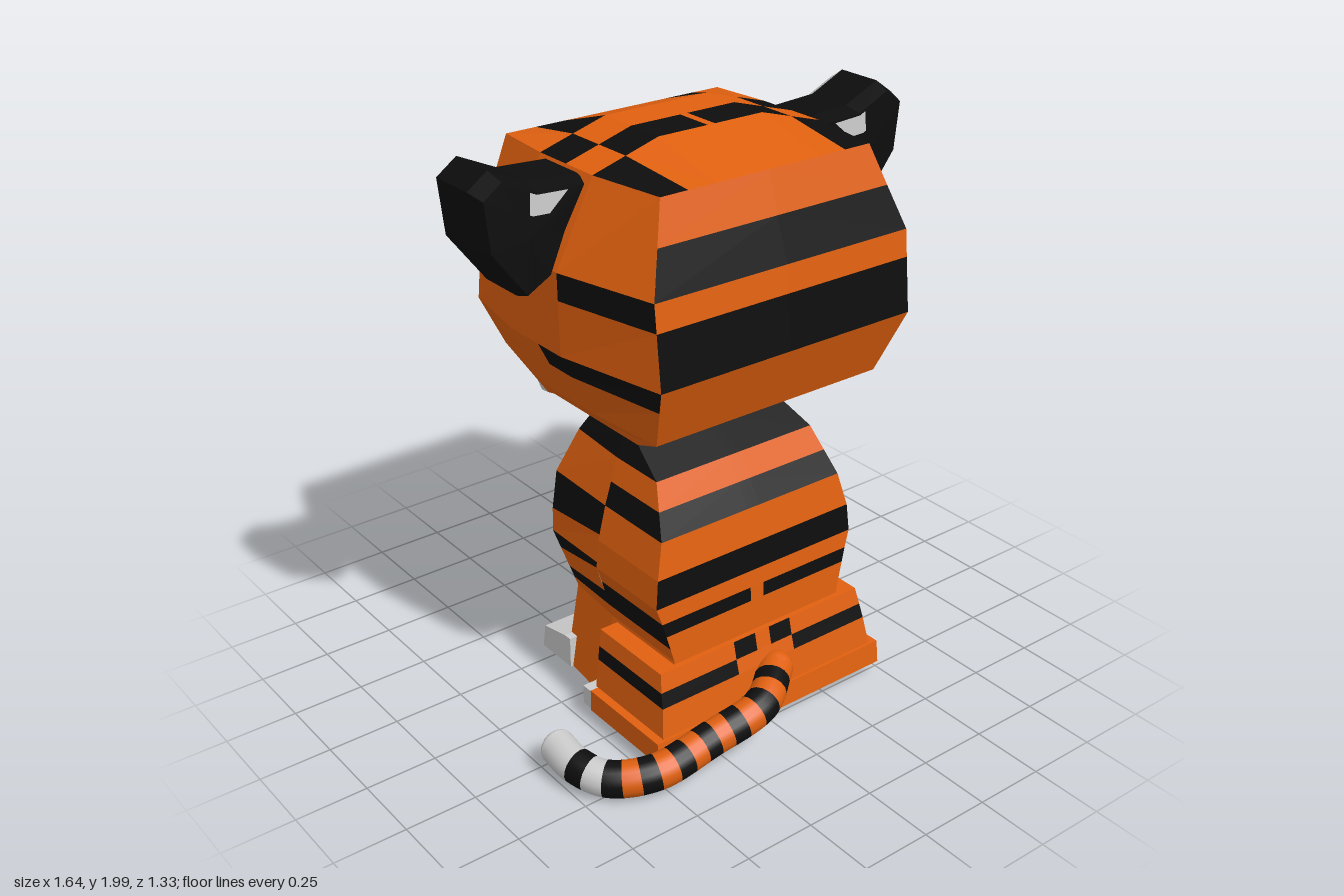
import * as THREE from 'three';

const mat = (color, flatShading = true) => new THREE.MeshStandardMaterial({ color, flatShading });
const MATS = { orange: mat(0xe0600f), black: mat(0x0d0d0d), grey: mat(0xcccccc) };
const V = (p) => new THREE.Vector3(...p);

// Paints a control grid of points, mirrored in x. Patches are [u0, u1, v0, v1, colour]
// in grid units; every face is turned away from the given centre.
function paint(name, grid, patches, base, centre) {
  const group = new THREE.Group();
  group.name = name;
  const nu = grid.length - 1, nv = grid[0].length - 1;
  const cuts = (n, a, b) => [...new Set([
    ...Array.from({ length: n + 1 }, (_, i) => i),
    ...patches.flatMap((p) => [p[a], p[b]])])].sort((x, y) => x - y);
  const us = cuts(nu, 0, 1), vs = cuts(nv, 2, 3), faces = {};
  const point = (u, v, s) => {
    const i = Math.min(Math.floor(u), nu - 1), j = Math.min(Math.floor(v), nv - 1);
    const a = V(grid[i][j]).lerp(V(grid[i + 1][j]), u - i);
    const b = V(grid[i][j + 1]).lerp(V(grid[i + 1][j + 1]), u - i);
    a.lerp(b, v - j).x *= s;
    return a;
  };
  for (const s of [1, -1]) {
    const mid = V(centre);
    mid.x *= s;
    for (let i = 0; i < us.length - 1; i++) for (let j = 0; j < vs.length - 1; j++) {
      const u = (us[i] + us[i + 1]) / 2, v = (vs[j] + vs[j + 1]) / 2;
      let colour = base;
      for (const [u0, u1, v0, v1, c] of patches) if (u > u0 && u < u1 && v > v0 && v < v1) colour = c;
      const a = point(us[i], vs[j], s), b = point(us[i + 1], vs[j], s);
      const c = point(us[i + 1], vs[j + 1], s), d = point(us[i], vs[j + 1], s);
      for (const t of [[a, b, c], [a, c, d]]) {
        const n = t[1].clone().sub(t[0]).cross(t[2].clone().sub(t[0]));
        if (n.length() < 1e-8) continue;
        const out = t[0].clone().add(t[1]).add(t[2]).divideScalar(3).sub(mid);
        if (n.dot(out) < 0) t.reverse();
        (faces[colour] ??= []).push(...t);
      }
    }
  }
  for (const [colour, pts] of Object.entries(faces)) {
    const geo = new THREE.BufferGeometry().setFromPoints(pts);
    geo.computeVertexNormals();
    const mesh = new THREE.Mesh(geo, MATS[colour]);
    mesh.name = `${name} ${colour}`;
    group.add(mesh);
  }
  return group;
}

// Torso profile: y, half width, back z, chest z
const TORSO = [[0.05, 0.4, 0.46, -0.14], [0.35, 0.35, 0.44, -0.13], [0.5, 0.39, 0.43, -0.18], [0.56, 0.41, 0.425, -0.19],
  [0.66, 0.4, 0.42, -0.2], [0.78, 0.37, 0.4, -0.21], [0.94, 0.32, 0.31, -0.14], [1.01, 0.29, 0.17, -0.1], [1.14, 0.19, 0.17, -0.1]];
function torsoAt(y) {
  let i = 0;
  while (i < TORSO.length - 2 && y > TORSO[i + 1][0]) i++;
  const p = TORSO[i], q = TORSO[i + 1], t = (y - p[0]) / (q[0] - p[0]);
  return [1, 2, 3].map((k) => p[k] + (q[k] - p[k]) * t);
}

function torso() {
  const g = new THREE.Group();
  g.name = 'torso';
  const mid = [0, 0.5, 0.1];
  const spine = (y) => [0, y, torsoAt(y)[1]];
  const rump = (y) => [torsoAt(y)[0], y, torsoAt(y)[1]];
  const flank = (y) => [torsoAt(y)[0], y, 0.1];
  const shoulder = (y) => [torsoAt(y)[0] * 0.94, y, torsoAt(y)[2]];
  const chest = (y) => [0, y, torsoAt(y)[2]];
  // rows are heights, or pairs of heights where the stripes slant
  const wall = (name, rows, a, b, patches) => g.add(paint(name,
    rows.map((r) => [a(r[0] ?? r), b(r[1] ?? r)]), patches, 'orange', mid));
  const band = (i, v0 = 0, v1 = 1, c = 'black') => [i, i + 1, v0, v1, c];

  wall('back', [1.14, 1.01, 0.94, 0.86, 0.78, 0.66, 0.56, 0.5, 0.45, 0.35, 0.05], spine, rump,
    [band(1), band(3), band(5), band(7, 0.07)]);
  wall('rearFlank', [1.14, 1.01, 0.94, 0.86, 0.78, 0.66, 0.56, 0.5, 0.4, 0.35, 0.05], rump, flank,
    [band(1), band(3), band(7)]);
  wall('shoulder', [[1.14, 1.14], [1.01, 1.01], [0.94, 0.94], [0.78, 0.77], [0.68, 0.64], [0.58, 0.56],
    [0.56, 0.49], [0.46, 0.42], [0.4, 0.38], [0.35, 0.35], [0.05, 0.05]], flank, shoulder,
    [band(1), band(3), band(5), band(7)]);
  wall('chest', [1.14, 1.01, 0.94, 0.86, 0.82, 0.78, 0.74, 0.7, 0.66, 0.61, 0.56, 0.5, 0.46, 0.41, 0.35, 0.05], chest, shoulder,
    [band(1, 0.4), band(1, 0, 0.35, 'grey'), band(2, 0, 0.35, 'grey'), band(3, 0, 0.12, 'grey'), band(4, 0, 0.12, 'grey'),
      band(3, 0.45), band(5, 0.25, 0.6), band(6, 0.6), band(8, 0.45), band(9, 0.15, 0.5), band(11, 0.35), band(13, 0, 0.3)]);
  return g;
}

// Haunches with the hind feet below them
function haunches() {
  const g = new THREE.Group();
  g.name = 'haunches';
  const ring = (y, x, zb, zf) => [[0, y, zb], [0.03, y, zb], [0.12, y, zb], [x, y, zb], [x, y, zf], [0, y, zf]];
  const flat = (y, z) => Array(6).fill([0, y, z]);
  g.add(paint('thighs', [flat(0.34, 0.3), ring(0.34, 0.42, 0.46, 0.13), ring(0.28, 0.43, 0.475, 0.135),
    ring(0.23, 0.436, 0.49, 0.135), ring(0.13, 0.45, 0.51, 0.14)],
    [[1, 2, 1, 2, 'black'], [2, 3, 2, 4, 'black']], 'orange', [0, 0.2, 0.3]));
  g.add(paint('hindFeet', [flat(0.13, 0.3), ring(0.13, 0.48, 0.52, 0.15), ring(0.05, 0.48, 0.53, 0.15), flat(0.05, 0.3)],
    [], 'orange', [0, 0.09, 0.3]));
  // underside
  g.add(paint('underside', [[[0, 0.05, -0.14], [0.38, 0.05, -0.14]], [[0, 0.05, 0.5], [0.42, 0.05, 0.5]]],
    [], 'orange', [0, 0.5, 0.1]));
  return g;
}

function paws() {
  const g = new THREE.Group();
  g.name = 'paws';
  const side = new THREE.Shape([[0.1, 0.05], [0.27, 0.05], [0.255, 0.14], [0.13, 0.165], [0.1, 0.165]]
    .map((p) => new THREE.Vector2(...p)));
  for (const s of [1, -1]) {
    const paw = new THREE.Mesh(new THREE.ExtrudeGeometry(side, { depth: 0.36, bevelEnabled: false }), MATS.grey);
    paw.rotation.y = Math.PI / 2;
    paw.position.x = s > 0 ? 0.03 : -0.39;
    paw.name = 'frontPaw';
    const toe = new THREE.Mesh(new THREE.BoxGeometry(0.09, 0.07, 0.06), MATS.grey);
    toe.position.set(s * 0.43, 0.086, 0.13);
    toe.name = 'hindToe';
    g.add(paw, toe);
  }
  return g;
}

function head() {
  const g = new THREE.Group();
  g.name = 'head';
  const mid = [0, 1.5, 0];
  const crown = (z) => [[0, 2, z], [0.2, 2, z], [0.44, 1.93, z], [0.575, 1.66, z], [0.57, 1.39, z],
    [0.46, 1.17, z], [0.42, 1.12, z], [0, 1.12, z]];
  // skull shell from back to face
  g.add(paint('skull', [
    [[0, 1.93, 0.44], [0.2, 1.93, 0.44], [0.4, 1.93, 0.44], [0.49, 1.66, 0.53], [0.49, 1.39, 0.56],
      [0.44, 1.17, 0.47], [0.42, 1.12, 0.35], [0, 1.12, 0.35]],
    crown(0.17), crown(-0.1),
    [[0, 1.93, -0.32], [0.2, 1.93, -0.32], [0.42, 1.93, -0.32], [0.52, 1.66, -0.33], [0.52, 1.39, -0.37],
      [0.42, 1.2, -0.38], [0.26, 0.97, -0.38], [0, 0.97, -0.38]]],
    [[0, 1, 1.5, 2, 'black'], [1, 1.5, 0.07, 1.5, 'black'], [1.5, 2, 1.5, 2, 'black'], [2, 3, 1, 1.5, 'black'],
      [0, 1, 3, 3.33, 'black'], [0, 1.45, 4, 4.36, 'black']], 'orange', mid));
  // striped back of the head
  g.add(paint('headBack', [[0.4, 1.93, 0.44], [0.443, 1.8, 0.483], [0.49, 1.66, 0.53], [0.49, 1.57, 0.54],
    [0.49, 1.39, 0.56], [0.44, 1.17, 0.47], [0.42, 1.12, 0.35]].map(([x, y, z]) => [[0, y, z], [x, y, z]]),
    [[1, 2, 0, 1, 'black'], [3, 4, 0, 1, 'black']], 'orange', mid));
  // brow, eyes and cheeks
  g.add(paint('face', [
    [[0, 1.93, -0.32], [0.2, 1.93, -0.32], [0.32, 1.93, -0.32], [0.42, 1.93, -0.32]],
    [[0, 1.83, -0.38], [0.2, 1.83, -0.38], [0.36, 1.82, -0.38], [0.47, 1.8, -0.325]],
    [[0, 1.71, -0.46], [0.2, 1.71, -0.46], [0.37, 1.71, -0.46], [0.52, 1.66, -0.33]],
    [[0, 1.58, -0.4], [0.2, 1.58, -0.4], [0.36, 1.58, -0.4], [0.52, 1.56, -0.345]],
    [[0, 1.39, -0.38], [0.2, 1.39, -0.38], [0.36, 1.39, -0.38], [0.52, 1.39, -0.37]],
    [[0, 1.2, -0.38], [0.2, 1.2, -0.38], [0.32, 1.2, -0.38], [0.42, 1.2, -0.38]],
    [[0, 0.97, -0.38], [0.1, 0.97, -0.38], [0.2, 0.97, -0.38], [0.26, 0.97, -0.38]]],
    [[0, 1, 0.07, 1, 'black'], [1, 2, 1, 3, 'grey'], [2, 3, 1, 2, 'grey'], [2, 3, 2, 3, 'black']], 'orange', mid));
  // muzzle with nose bridge
  const tip = [[0.2, 1.46, -0.66], [0.2, 1.39, -0.66], [0.18, 1.14, -0.64], [0.16, 1.07, -0.61]];
  g.add(paint('muzzle', [
    [[0, 1.83, -0.38], [0.2, 1.83, -0.38], [0.32, 1.56, -0.38], [0.32, 1.22, -0.38], [0.26, 0.97, -0.38], [0, 0.97, -0.38]],
    [[0, 1.71, -0.46], [0.2, 1.71, -0.46], [0.33, 1.54, -0.5], [0.33, 1.2, -0.48], [0.22, 0.93, -0.48], [0, 0.93, -0.48]],
    [[0, 1.55, -0.61], [0.2, 1.55, -0.61], [0.32, 1.44, -0.635], [0.28, 1.16, -0.61], [0.19, 1.03, -0.575], [0, 1.03, -0.575]],
    [[0, 1.46, -0.665], ...tip, [0, 1.07, -0.61]]],
    [[0, 2, 0, 1, 'orange'], [2, 3, 0, 1, 'black']], 'grey', [0, 1.35, -0.35]));
  g.add(paint('muzzleFront', tip.map(([x, y, z], i) => [[0, y - (i === 1 ? 0.04 : 0), z - 0.005], [x, y, z]]),
    [[0, 1, 0, 1, 'black']], 'grey', [0, 1.35, -0.35]));
  return g;
}

// Chunky ears with a dished grey inside
function ears() {
  const outline = [[0.44, 1.92], [0.62, 1.93], [0.75, 1.99], [0.82, 1.94], [0.8, 1.76], [0.67, 1.59], [0.58, 1.64], [0.52, 1.78], [0.44, 1.92]];
  const ring = (k, z) => outline.map(([x, y]) => [0.66 + (x - 0.66) * k, 1.78 + (y - 1.78) * k, z]);
  return paint('ears', [ring(0, 0.165), ring(0.9, 0.16), ring(1, 0.1), ring(1, -0.065), ring(0.85, -0.105), ring(0, -0.03)],
    [[3, 5, 0, 8, 'grey'], [0.5, 0.95, 0.3, 1.2, 'grey']], 'black', [0.66, 1.78, 0.04]);
}

// Curled tail, ringed by splitting the tube into bands
function tail() {
  const g = new THREE.Group();
  g.name = 'tail';
  const curve = new THREE.CatmullRomCurve3([[0.03, 0.2, 0.5], [-0.12, 0.17, 0.6], [-0.32, 0.12, 0.59], [-0.53, 0.08, 0.575],
    [-0.66, 0.065, 0.49], [-0.705, 0.075, 0.38], [-0.705, 0.085, 0.28]].map(V));
  const sides = 16, bands = 18, per = 3;
  const geo = new THREE.TubeGeometry(curve, bands * per, 0.06, sides);
  for (let i = 0; i < bands; i++)
    geo.addGroup(i * per * sides * 6, per * sides * 6, i % 2 ? 1 : i > 13 ? 2 : 0);
  geo.groups[bands - 1].materialIndex = 2;
  const smooth = ['orange', 'black', 'grey'].map((c) => mat(MATS[c].color, false));
  const tube = new THREE.Mesh(geo, smooth);
  tube.name = 'tailRings';
  g.add(tube);
  for (const [t, m, squash] of [[0, 0, 1], [1, 2, 0.55]]) {
    const cap = new THREE.Mesh(new THREE.SphereGeometry(0.06, sides, 10), smooth[m]);
    cap.position.copy(curve.getPoint(t));
    cap.scale.z = squash;
    cap.name = t ? 'tailTip' : 'tailRoot';
    g.add(cap);
  }
  return g;
}

export function createModel() {
  const model = new THREE.Group();
  model.name = 'sittingTiger';
  model.add(torso(), haunches(), paws(), head(), ears(), tail());
  return model;
}
